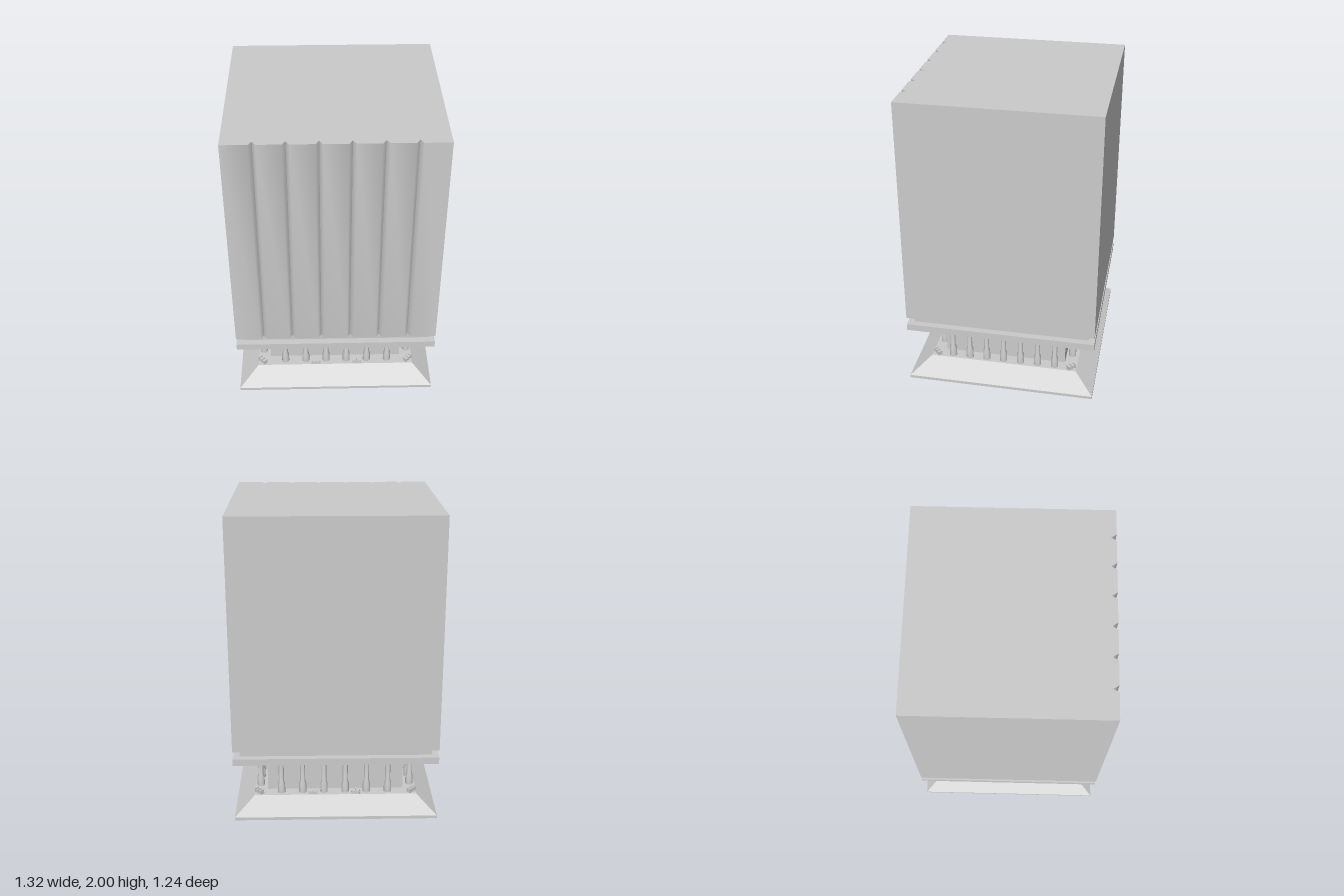
import * as THREE from 'three';
import { toCreasedNormals } from 'three/addons/utils/BufferGeometryUtils.js';

const HX = 0.66, HZ = 0.62; // half width and half depth of the whole tower
const TERRACE = 0.115; // height of the terrace top

export function createModel() {
  const model = new THREE.Group();
  const material = new THREE.MeshStandardMaterial({ color: 0xcccccc });

  function add(name, geometry, parent = model) {
    const mesh = new THREE.Mesh(geometry, material);
    mesh.name = name;
    parent.add(mesh);
    return mesh;
  }

  // Box given by half sizes and bottom / top heights
  function slab(name, hx, hz, y0, y1) {
    const mesh = add(name, new THREE.BoxGeometry(hx * 2, y1 - y0, hz * 2));
    mesh.position.y = (y0 + y1) / 2;
    return mesh;
  }

  // Plinth and terrace with sloping sides
  slab('plinth', HX, HZ, 0, 0.02);
  const terrace = slab('slopedTerrace', HX, HZ, 0.02, TERRACE);
  const p = terrace.geometry.attributes.position;
  for (let i = 0; i < p.count; i++) {
    if (p.getY(i) > 0) {
      p.setX(i, Math.sign(p.getX(i)) * 0.535);
      p.setZ(i, Math.sign(p.getZ(i)) * 0.495);
    }
  }
  terrace.geometry.computeVertexNormals();

  // Recessed ground storey and the floor plates above it
  slab('groundStorey', 0.45, 0.41, TERRACE, 0.395);
  slab('floorPlate', HX, HZ, 0.395, 0.44);
  slab('recessedBand', 0.617, 0.577, 0.44, 0.49);

  // Main block with V grooves down the front
  const outline = new THREE.Shape();
  outline.moveTo(-HX, -HZ);
  for (let i = 0; i < 6; i++) {
    const x = -0.475 + i * 0.19;
    outline.lineTo(x - 0.021, -HZ);
    outline.lineTo(x, -HZ + 0.035);
    outline.lineTo(x + 0.021, -HZ);
  }
  outline.lineTo(HX, -HZ);
  outline.lineTo(HX, HZ);
  outline.lineTo(-HX, HZ);
  outline.closePath();
  const block = new THREE.ExtrudeGeometry(outline, { depth: 1.51, bevelEnabled: false });
  block.rotateX(-Math.PI / 2);
  add('groovedBlock', toCreasedNormals(block, 1.2)).position.y = 0.49;

  // Colonnade: six columns front and back, seven on each side
  const profile = [[0.025, 0], [0.024, 0.06], [0.017, 0.085], [0.017, 0.28]]
    .map(([r, y]) => new THREE.Vector2(r, y));
  const columnGeometry = toCreasedNormals(new THREE.LatheGeometry(profile, 12), 0.6);
  const colonnade = new THREE.Group();
  colonnade.name = 'colonnade';
  model.add(colonnade);
  const column = (x, z) => add('column', columnGeometry, colonnade).position.set(x, TERRACE, z);
  for (const s of [-1, 1]) {
    for (let i = 0; i < 6; i++) column((i - 2.5) * 0.141 + 0.006, s * 0.45);
    for (let i = 0; i < 7; i++) column(s * 0.5, (i - 3) * 0.1165 + 0.004);
  }

  // Low floodlights: a housing with ribs, at the corners and mid edges
  const housing = new THREE.BoxGeometry(0.06, 0.02, 0.022);
  const rib = new THREE.BoxGeometry(0.008, 0.03, 0.03);
  function floodlight(x, z, turn) {
    const light = new THREE.Group();
    light.name = 'floodlight';
    light.position.set(x, TERRACE, z);
    light.rotation.y = turn;
    add('housing', housing, light).position.y = 0.01;
    for (const dx of [-0.026, 0, 0.026]) add('rib', rib, light).position.set(dx, 0.015, 0);
    model.add(light);
  }
  for (const sz of [-1, 1]) {
    for (const sx of [-1, 1]) floodlight(sx * 0.505, sz * 0.46, sx * sz * Math.PI / 4);
    floodlight(-0.135, sz * 0.478, 0);
    floodlight(0.15, sz * 0.478, 0);
  }

  return model;
}
